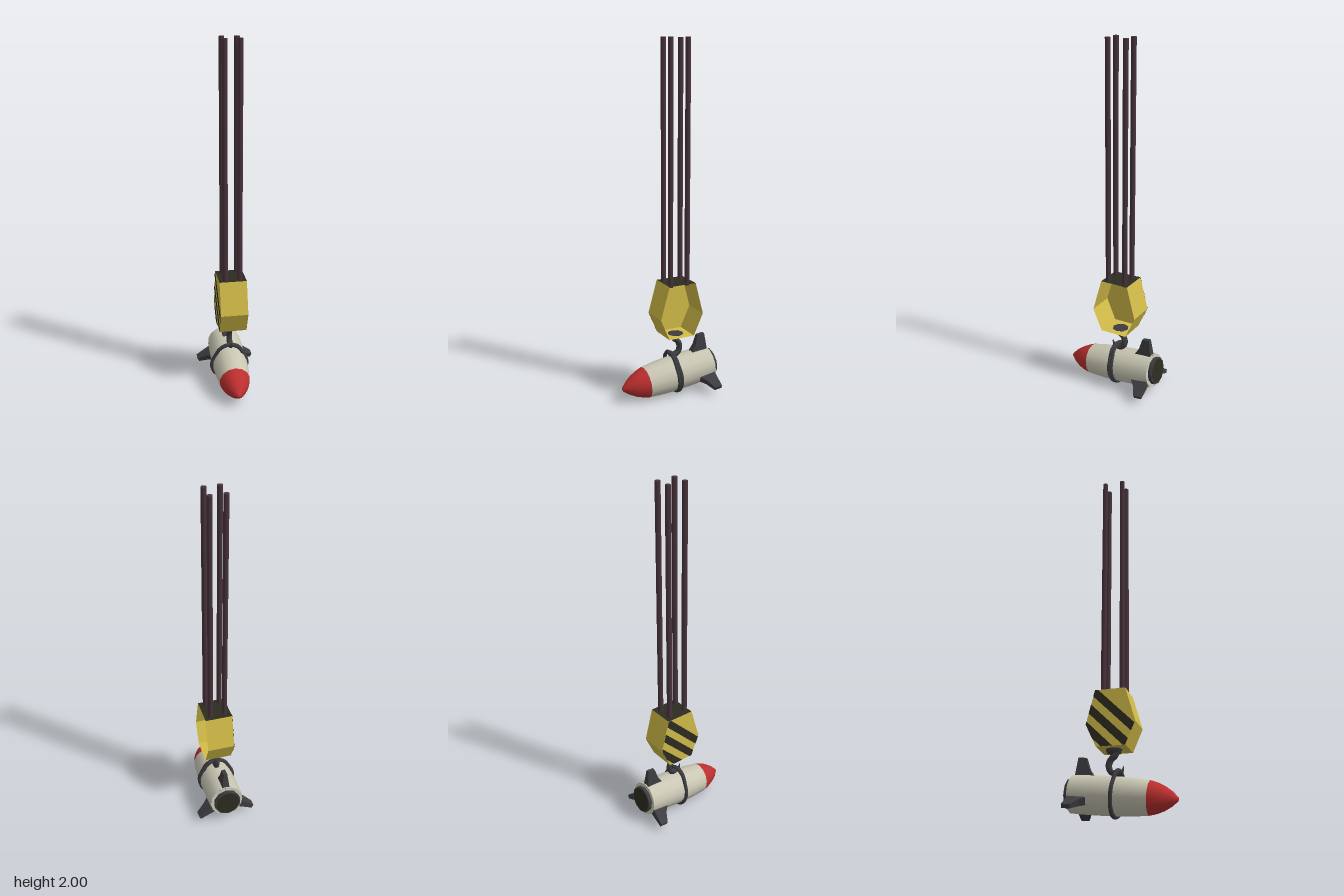
import * as THREE from 'three';

const mat = (name, color, side = THREE.FrontSide) => {
  const m = new THREE.MeshStandardMaterial({ color, side });
  m.name = name;
  return m;
};

export function createModel() {
  const yellow = mat('yellow paint', 0xd2bc48, THREE.DoubleSide);
  const black = mat('black', 0x2c2c21, THREE.DoubleSide);
  const white = mat('off white', 0xcac7b4);
  const red = mat('red', 0xbd2f2f);
  const steel = mat('dark steel', 0x3d3c41);
  const cableMat = mat('cable', 0x48343b);

  const model = new THREE.Group();
  const add = (parent, name, geometry, material) => {
    const mesh = new THREE.Mesh(geometry, material);
    mesh.name = name;
    parent.add(mesh);
    return mesh;
  };
  // flat convex polygon from 3D corners
  const polygon = (corners) => {
    const pos = [];
    for (let i = 1; i < corners.length - 1; i++) {
      pos.push(...corners[0], ...corners[i], ...corners[i + 1]);
    }
    const g = new THREE.BufferGeometry();
    g.setAttribute('position', new THREE.Float32BufferAttribute(pos, 3));
    g.computeVertexNormals();
    return g;
  };

  // Four hoist cables
  for (const x of [-0.032, 0.05]) {
    for (const z of [0.012, -0.092]) {
      const g = new THREE.CylinderGeometry(0.015, 0.015, 1.345, 8);
      add(model, 'cable', g, cableMat).position.set(x, 1.3275, z);
    }
  }

  // Pulley housing: six-sided shell, open on its left; outline as [z, y]
  const block = new THREE.Group();
  block.name = 'pulleyBlock';
  model.add(block);
  const hex = [[0.037, 0.67], [-0.127, 0.67], [-0.175, 0.485], [-0.118, 0.362], [0.037, 0.362], [0.09, 0.485]];
  const x0 = -0.068, x1 = 0.087;
  hex.forEach(([z, y], i) => {
    const [z2, y2] = hex[(i + 1) % 6];
    const g = polygon([[x1, y, z], [x1, y2, z2], [x0, y2, z2], [x0, y, z]]);
    add(block, i === 0 ? 'housingTop' : 'housingWall', g, i === 0 ? black : yellow);
  });
  add(block, 'housingSide', polygon(hex.map(([z, y]) => [x0, y, z]).reverse()), yellow);

  // Diagonal warning stripes: the outline clipped to bands of y + z
  const clip = (poly, limit, sign) => {
    const out = [];
    poly.forEach((p, i) => {
      const q = poly[(i + 1) % poly.length];
      const dp = sign * (p[0] + p[1] - limit), dq = sign * (q[0] + q[1] - limit);
      if (dp >= 0) out.push(p);
      if (dp * dq < 0) {
        const t = dp / (dp - dq);
        out.push([p[0] + (q[0] - p[0]) * t, p[1] + (q[1] - p[1]) * t]);
      }
    });
    return out;
  };
  for (const low of [0.27, 0.385, 0.5]) {
    const band = clip(clip(hex, low, 1), low + 0.06, -1);
    add(block, 'warningStripe', polygon(band.map(([z, y]) => [x0 - 0.002, y, z]).reverse()), black);
  }

  // Hook with its collar
  add(model, 'hookCollar', new THREE.CylinderGeometry(0.046, 0.036, 0.02, 8), steel)
    .position.set(0.007, 0.353, -0.043);
  const hookPath = new THREE.CatmullRomCurve3([
    [-0.03, 0.35], [-0.035, 0.33], [-0.058, 0.312], [-0.07, 0.278],
    [-0.058, 0.245], [-0.024, 0.234], [0.0, 0.244], [0.01, 0.272],
  ].map(([z, y]) => new THREE.Vector3(0.004, y, z)));
  const hookSteps = 16, hookSides = 6;
  const hookGeo = new THREE.TubeGeometry(hookPath, hookSteps, 0.017, hookSides);
  // taper the hook towards its point
  const hp = hookGeo.attributes.position;
  for (let i = 0; i < hp.count; i++) {
    const t = Math.floor(i / (hookSides + 1)) / hookSteps;
    const c = hookPath.getPointAt(t);
    const k = Math.min(1, (1 - t) * 3 + 0.08);
    const v = new THREE.Vector3().fromBufferAttribute(hp, i).sub(c).multiplyScalar(k).add(c);
    hp.setXYZ(i, v.x, v.y, v.z);
  }
  hookGeo.computeVertexNormals();
  add(model, 'hook', hookGeo, steel);

  // Rocket, nose forward and tipped slightly down
  const rocket = new THREE.Group();
  rocket.name = 'rocket';
  rocket.position.y = 0.116;
  rocket.rotation.x = 0.11;
  model.add(rocket);
  const lathe = (pts) =>
    new THREE.LatheGeometry(pts.map(([r, a]) => new THREE.Vector2(r, a)), 14).rotateX(Math.PI / 2);
  add(rocket, 'body', lathe([[0.097, -0.262], [0.1, -0.2], [0.101, -0.08], [0.1, 0.0], [0.097, 0.06], [0.088, 0.147]]), white);
  add(rocket, 'nose', lathe([[0.088, 0.147], [0.077, 0.185], [0.062, 0.22], [0.038, 0.258], [0.01, 0.289], [0, 0.292]]), red);
  add(rocket, 'tailPlate', new THREE.CircleGeometry(0.097, 14).rotateY(Math.PI), white).position.z = -0.262;
  add(rocket, 'nozzle', new THREE.CylinderGeometry(0.078, 0.078, 0.03, 10).rotateX(Math.PI / 2), steel)
    .position.z = -0.268;
  add(rocket, 'nozzleOpening', new THREE.CircleGeometry(0.071, 10).rotateY(Math.PI), black).position.z = -0.2845;

  // Three tapered tail fins; outline as [axial, radial]
  const outline = [[-0.255, 0.085], [-0.155, 0.085], [-0.16, 0.1], [-0.184, 0.13], [-0.208, 0.188], [-0.252, 0.188]];
  const finShape = new THREE.Shape(outline.map(([a, r]) => new THREE.Vector2(a, r)));
  for (let i = 0; i < 3; i++) {
    const g = new THREE.ExtrudeGeometry(finShape, { depth: 0.044, bevelEnabled: false });
    g.translate(0, 0, -0.022).rotateY(-Math.PI / 2);
    const p = g.attributes.position;
    for (let j = 0; j < p.count; j++) {
      p.setX(j, p.getX(j) * (1 - 0.5 * (p.getY(j) - 0.085) / 0.103));
    }
    g.computeVertexNormals();
    add(rocket, 'fin', g, steel).rotation.z = i * Math.PI * 2 / 3;
  }

  // Two sling loops crossing on one side and rising to the hook
  for (const s of [-1, 1]) {
    const pts = [];
    for (let i = 0; i < 14; i++) {
      const a = Math.PI / 2 + i * Math.PI / 7;
      const r = i === 0 ? 0.13 : i === 1 || i === 13 ? 0.122 : 0.104;
      const x = Math.cos(a) * r;
      pts.push(new THREE.Vector3(x - 0.003, Math.sin(a) * r, -0.028 + s * 0.045 * (x + 0.09)));
    }
    const path = new THREE.CatmullRomCurve3(pts, true);
    add(rocket, 'sling', new THREE.TubeGeometry(path, 28, 0.0105, 5, true), steel);
  }

  return model;
}
